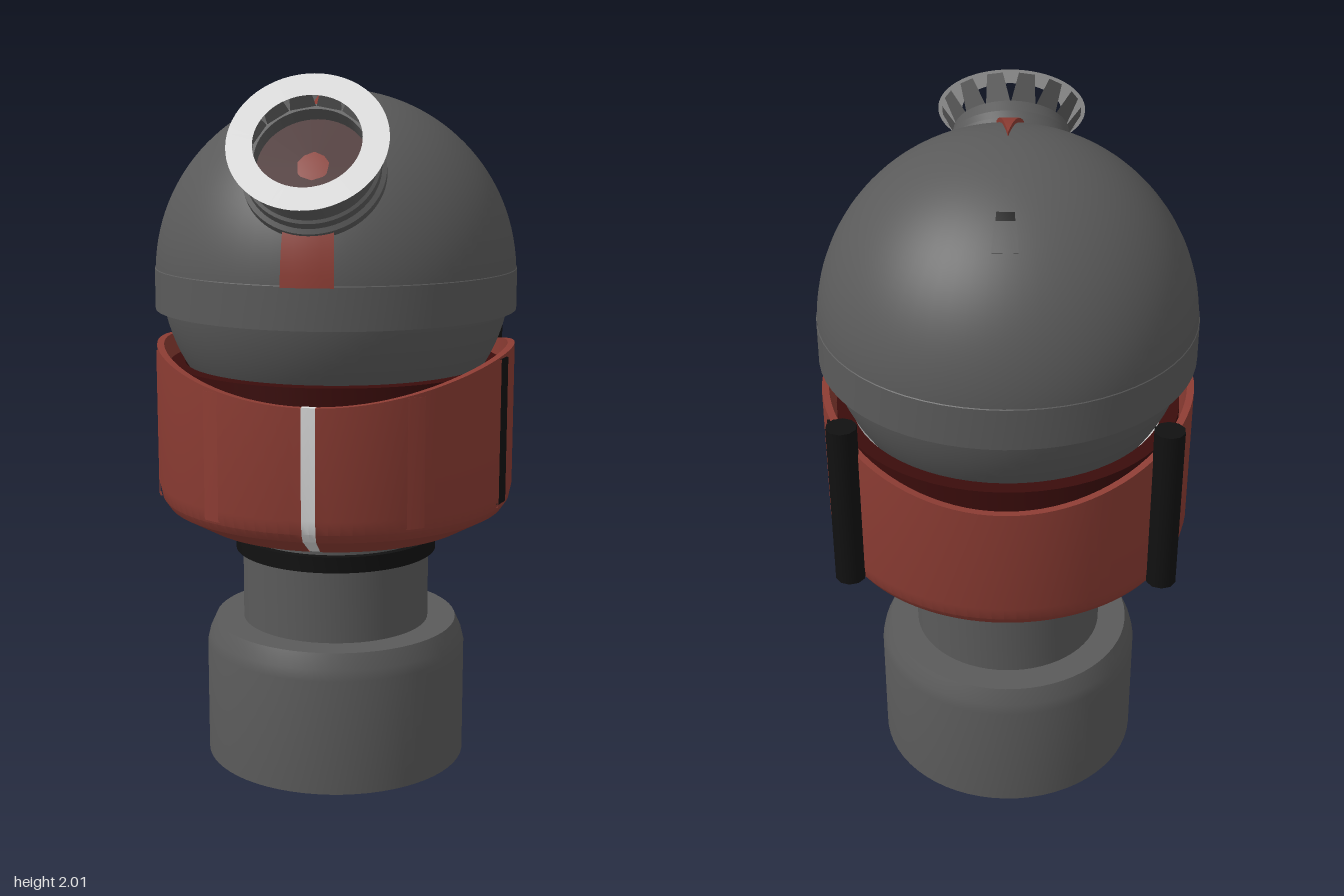
import * as THREE from 'three';
import { toCreasedNormals } from 'three/addons/utils/BufferGeometryUtils.js';

const mat = (name, color) => {
  const m = new THREE.MeshStandardMaterial({ color, side: THREE.DoubleSide });
  m.name = name;
  return m;
};

export function createModel() {
  const gray = mat('gray', 0x5a5a5a), red = mat('red', 0x8c3c33), black = mat('black', 0x111111);
  const white = mat('white', 0xdddddd), maroon = mat('maroon', 0x3a0c0b);

  const model = new THREE.Group();
  model.name = 'domedRobot';
  model.position.z = -0.06;

  const add = (parent, name, geometry, material) => {
    const mesh = new THREE.Mesh(geometry, material);
    mesh.name = name;
    parent.add(mesh);
    return mesh;
  };
  // profile of [radius, height] pairs; angle 0 faces the front
  const lathe = (pts, start = 0, length = Math.PI * 2, segs = 64) =>
    new THREE.LatheGeometry(pts.map(([r, y]) => new THREE.Vector2(r, y)), segs, start, length);
  const turned = (...args) => toCreasedNormals(lathe(...args), 0.4);
  const arc = (r, from, to, n, cy = 0) => Array.from({ length: n + 1 }, (_, i) => {
    const a = from + (to - from) * i / n;
    return [Math.max(0, r * Math.cos(a)), cy + r * Math.sin(a)];
  });

  // Base and neck
  add(model, 'base', turned([[0, 0], [0.387, 0], [0.387, 0.34], [0.38, 0.37], [0.36, 0.415], [0.27, 0.415]]), gray);
  add(model, 'neck', turned([[0.277, 0.41], [0.277, 0.72], [0.25, 0.73], [0.25, 1.02]]), gray);
  add(model, 'neckRing', turned([[0.27, 0.63], [0.298, 0.63], [0.298, 0.677], [0.27, 0.677]]), black);

  // Collar shell with a wavy rim and a narrow front gap
  const collarGeometry = (inset, start, length, segs) => {
    const geo = lathe([[0.375, 0.722], [0.4, 0.722], [0.495, 0.775], [0.512, 0.8], [0.52, 0.84],
      [0.52, 1.15], [0.5, 1.15], [0.5, 0.84], [0.375, 0.735]], start, length, segs);
    const p = geo.attributes.position;
    for (let i = 0; i < p.count; i++) {
      const x = p.getX(i), y = p.getY(i), z = p.getZ(i), r = Math.hypot(x, z);
      if (y > 1.1) p.setY(i, 1.148 + 0.105 * (x / r) ** 2);
      p.setX(i, x * (r - inset) / r);
      p.setZ(i, z * (r - inset) / r);
    }
    geo.computeVertexNormals();
    return toCreasedNormals(geo, 0.4);
  };
  add(model, 'collar', collarGeometry(0, 0.037, Math.PI * 2 - 0.074, 96), red);
  add(model, 'frontStrip', collarGeometry(0.006, -0.04, 0.08, 2), white);
  add(model, 'collarLining', turned([[0.482, 0.85], [0.482, 1.195], [0.44, 1.195]]), maroon);
  add(model, 'innerWall', lathe([[0.4, 0.745], [0.475, 0.83], [0.475, 1.14]]), white);

  // Thin upright plates on the collar
  const plate = (name, deg, y0, y1, material, r = 0.523) => {
    const w = 0.1, a = THREE.MathUtils.degToRad(deg);
    add(model, name, lathe([[0.517, y0], [r, y0], [r, y1], [0.517, y1]], a - w / 2, w, 3), material);
  };
  for (const s of [-1, 1]) {
    plate('frontPlate', s * 32.5, 0.81, 1.17, red);
    plate('sidePlate', s * 72, 0.81, 1.23, red);
    plate('rearPlate', s * 115, 0.81, 1.22, red);
  }
  plate('sideBar', 72, 0.82, 1.235, black, 0.526);
  plate('rearBarUpper', 115, 1.17, 1.232, black, 0.526);
  plate('rearBarLower', 115, 0.82, 0.95, black, 0.526);

  // Rear posts
  for (const s of [-1, 1]) {
    const post = add(model, 'post', new THREE.CylinderGeometry(0.042, 0.042, 0.49, 10).toNonIndexed(), black);
    post.position.set(s * 0.43, 1.055, -0.34);
  }

  // Head: dome, band and lower bowl
  const head = new THREE.Group();
  head.name = 'head';
  head.position.y = 1.45;
  model.add(head);
  add(head, 'dome', lathe(arc(0.52, 0, Math.PI / 2, 32)), gray);
  add(head, 'band', turned([[0.52, 0.02], [0.522, 0.018], [0.522, -0.098], [0.495, -0.098]]), gray);
  add(head, 'bowl', lathe(arc(0.505, -Math.PI / 2, -0.1, 24)), gray);

  // Tapered crests over the dome
  const crest = (name, r, half, lowAngle, facing, material) => {
    const group = new THREE.Group();
    group.name = name;
    group.rotation.y = facing;
    head.add(group);
    const profile = [...arc(0.51, Math.PI / 2, lowAngle, 24), ...arc(r, lowAngle, Math.PI / 2, 24)];
    add(group, name + 'Top', toCreasedNormals(lathe(profile, -half, half * 2, 4), 0.5), material);
    const side = new THREE.ShapeGeometry(new THREE.Shape(profile.map(([x, y]) => new THREE.Vector2(x, y))));
    for (const s of [-1, 1]) {
      add(group, name + 'Side', side, material).rotation.y = -Math.PI / 2 + s * half;
    }
  };
  crest('frontCrest', 0.532, 0.134, 0.03, 0, red);
  crest('rearCrest', 0.5225, 0.09, 0.79, Math.PI, gray);
  add(head, 'rearMark', lathe(arc(0.5245, 0.95, 1.0, 2), Math.PI - 0.08, 0.16, 4), black);

  // Eye, built along its own axis and tilted forward
  const eye = new THREE.Group();
  eye.name = 'eye';
  eye.rotation.x = THREE.MathUtils.degToRad(52.7);
  head.add(eye);
  add(eye, 'eyeHousing', turned([[0.19, 0.44], [0.192, 0.505], [0.18, 0.512], [0.18, 0.535], [0.172, 0.54],
    [0.165, 0.575], [0.15, 0.575], [0.15, 0.52]]), gray);
  const lens = add(eye, 'lens', new THREE.CircleGeometry(0.152, 48), maroon);
  lens.rotation.x = -Math.PI / 2;
  lens.position.y = 0.53;
  const rim = add(eye, 'eyeRim', new THREE.RingGeometry(0.142, 0.211, 64), white);
  rim.rotation.x = -Math.PI / 2;
  rim.position.y = 0.645;

  // Flared teeth holding the rim
  const teeth = [], count = 14;
  for (let i = 0; i < count; i++) {
    const point = (r, y, t) => {
      const a = (i + t) / count * Math.PI * 2;
      return [r * Math.sin(a), y, r * Math.cos(a)];
    };
    const a = point(0.158, 0.572, 0), b = point(0.158, 0.572, 1);
    const c = point(0.2, 0.643, 0.75), d = point(0.2, 0.643, 0.25);
    teeth.push(...a, ...b, ...c, ...a, ...c, ...d);
  }
  const teethGeometry = new THREE.BufferGeometry();
  teethGeometry.setAttribute('position', new THREE.Float32BufferAttribute(teeth, 3));
  teethGeometry.computeVertexNormals();
  add(eye, 'eyeTeeth', teethGeometry, gray);

  const root = new THREE.Group();
  root.name = 'model';
  root.add(model);
  return root;
}
